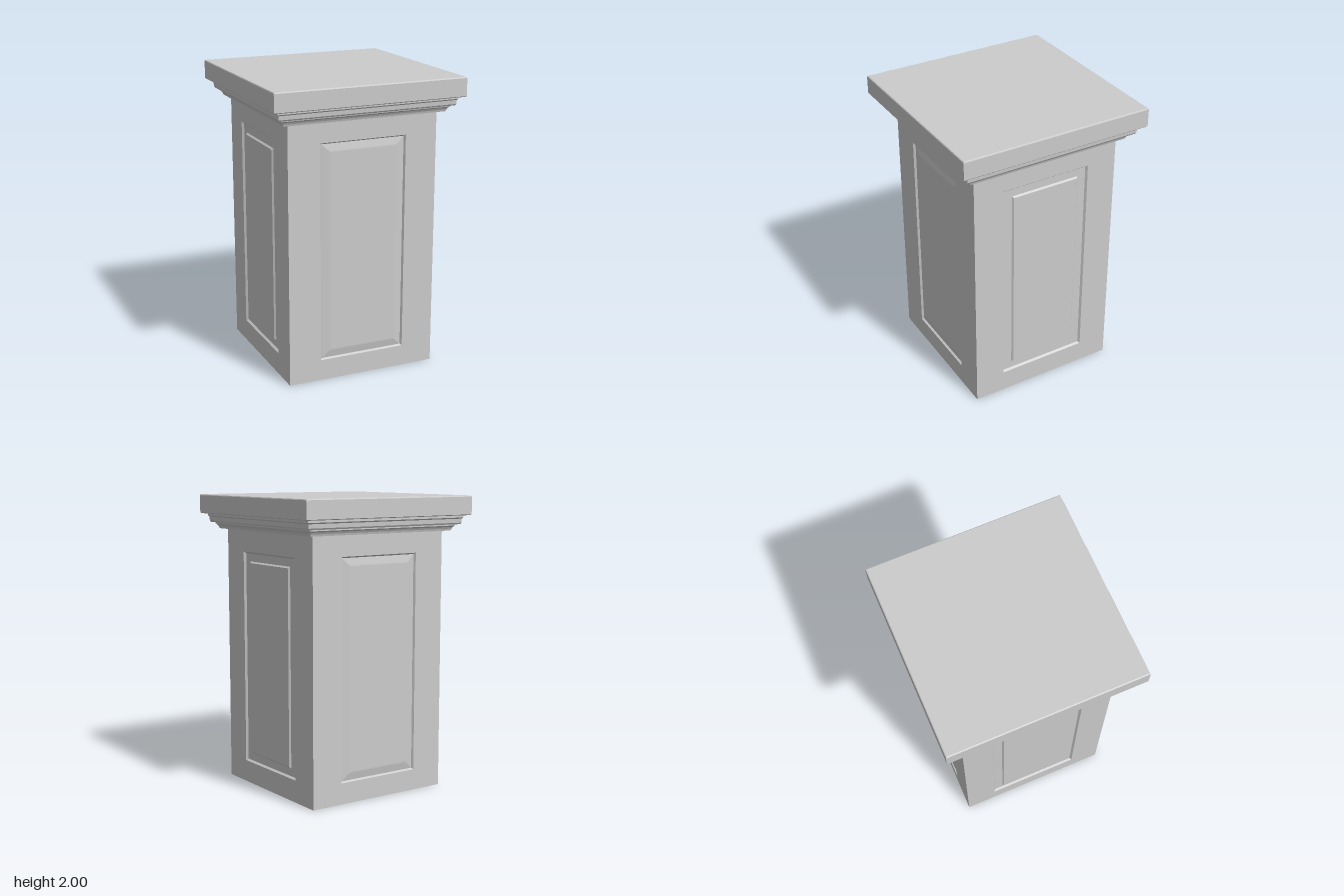
import * as THREE from 'three';

const HALF = 0.525, TOP = 1.765;
const material = new THREE.MeshStandardMaterial({ color: 0xcccccc, flatShading: true, side: THREE.DoubleSide });

// One column wall: nested rectangles [halfWidth, bottom, top, depth] joined ring by ring.
function wallGeometry(rings) {
  const positions = [], index = [];
  for (const [w, y0, y1, d] of rings) {
    positions.push(-w, y0, d, w, y0, d, w, y1, d, -w, y1, d);
  }
  for (let r = 0; r < rings.length - 1; r++) {
    for (let i = 0; i < 4; i++) {
      const a = r * 4 + i, b = r * 4 + (i + 1) % 4;
      index.push(a, b, b + 4, a, b + 4, a + 4);
    }
  }
  const c = (rings.length - 1) * 4;
  index.push(c, c + 1, c + 2, c, c + 2, c + 3);
  const geometry = new THREE.BufferGeometry();
  geometry.setAttribute('position', new THREE.Float32BufferAttribute(positions, 3));
  geometry.setIndex(index);
  geometry.computeVertexNormals();
  return geometry;
}

// Square moulding: a profile of [halfSize, y] swept around four sides.
function squareSweep(name, profile) {
  const points = profile.map(([s, y]) => new THREE.Vector2(s * Math.SQRT2, y));
  const geometry = new THREE.LatheGeometry(points, 4, Math.PI / 4).toNonIndexed();
  geometry.computeVertexNormals();
  const mesh = new THREE.Mesh(geometry, material);
  mesh.name = name;
  return mesh;
}

export function createModel() {
  const model = new THREE.Group();
  model.name = 'pedestal';

  // Front and back: recess with a gently sloped border
  const slopedPanel = wallGeometry([
    [HALF, 0, TOP, 0],
    [0.302, 0.143, 1.625, 0],
    [0.293, 0.152, 1.616, -0.014],
    [0.24, 0.2, 1.57, -0.005],
    [0.232, 0.208, 1.562, -0.004],
  ]);
  // Sides: recess with a flat border and a raised field
  const raisedPanel = wallGeometry([
    [HALF, 0, TOP, 0],
    [0.316, 0.15, 1.617, 0],
    [0.305, 0.161, 1.606, -0.014],
    [0.245, 0.214, 1.553, -0.014],
    [0.235, 0.224, 1.543, -0.003],
  ]);
  ['frontWall', 'leftWall', 'backWall', 'rightWall'].forEach((name, i) => {
    const wall = new THREE.Mesh(i % 2 ? raisedPanel : slopedPanel, material);
    wall.name = name;
    wall.rotation.y = i * Math.PI / 2;
    wall.translateZ(HALF);
    model.add(wall);
  });

  // Stepped moulding under the cap
  model.add(squareSweep('moulding', [
    [HALF, TOP], [0.567, TOP], [0.571, 1.778], [0.578, 1.79], [0.588, 1.799],
    [0.588, 1.808], [0.61, 1.808], [0.617, 1.818], [0.619, 1.845],
    [0.627, 1.853], [0.627, 1.869],
  ]));

  // Cap slab with softly eased edges
  model.add(squareSweep('cap', [
    [0.627, 1.869], [0.66, 1.869], [0.665, 1.874], [0.665, 1.992],
    [0.6625, 1.9975], [0.657, 2], [0, 2],
  ]));
  return model;
}
